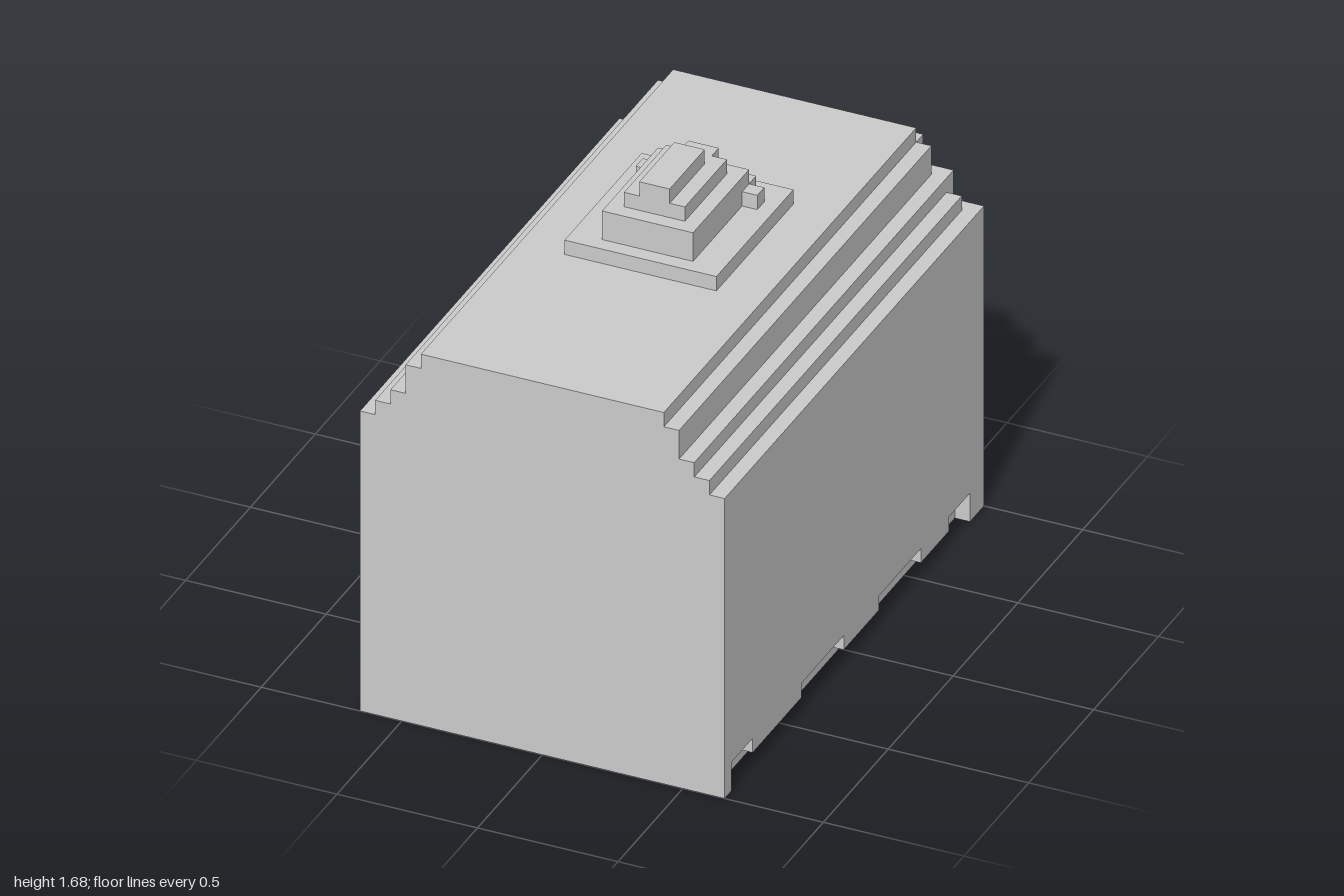
import * as THREE from 'three';

const U = 2 / 37; // one block unit; z is counted in units back from the front face
const material = new THREE.MeshStandardMaterial({ color: 0xcccccc, flatShading: true });

export function createModel() {
  const model = new THREE.Group();

  function addBox(name, x0, x1, y0, y1, z0, z1) {
    const mesh = new THREE.Mesh(
      new THREE.BoxGeometry((x1 - x0) * U, (y1 - y0) * U, (z1 - z0) * U), material);
    mesh.position.set((x0 + x1) / 2 * U, (y0 + y1) / 2 * U, 1 - (z0 + z1) / 2 * U);
    mesh.name = name;
    model.add(mesh);
  }

  // Stepped main body: half-width outline extruded along the full length
  const outline = [[11, 0], [11, 21], [10, 21], [10, 23], [8, 23], [8, 25]];
  const points = [...outline, ...outline.map(([x, y]) => [-x, y]).reverse()];
  const bodyGeometry = new THREE.ExtrudeGeometry(
    new THREE.Shape(points.map(([x, y]) => new THREE.Vector2(x * U, y * U))),
    { depth: 2, bevelEnabled: false });
  bodyGeometry.translate(0, 0, -1);
  const body = new THREE.Mesh(bodyGeometry, material);
  body.name = 'body';
  model.add(body);

  // Top slab and roof trims stop one unit short of the back
  addBox('topSlab', -8, 8, 25, 26, 0, 36);
  for (const s of [-1, 1]) {
    const side = (a, b) => (s > 0 ? [a, b] : [-b, -a]);
    addBox('lowerRoofTrim', ...side(10, 11), 21, 22, 0, 36);
    addBox('upperRoofTrim', ...side(8, 9), 23, 25, 0, 36);
  }

  // Side panels with a notched lower edge, the same on both sides
  const edge = [[0, 0], [1, 0], [1, 2], [4, 2], [4, 1], [11, 1], [11, 2], [17, 2], [17, 1],
    [22, 1], [22, 2], [28, 2], [28, 1], [32, 1], [32, 2], [35, 2], [35, 0], [37, 0],
    [37, 21], [0, 21]];
  const panelGeometry = new THREE.ExtrudeGeometry(
    new THREE.Shape(edge.map(([z, y]) => new THREE.Vector2(z * U - 1, y * U))),
    { depth: U, bevelEnabled: false });
  panelGeometry.rotateY(Math.PI / 2);
  for (const x of [11, -12]) {
    const panel = new THREE.Mesh(panelGeometry, material);
    panel.position.x = x * U;
    panel.name = x > 0 ? 'leftPanel' : 'rightPanel';
    model.add(panel);
  }

  // Small stepped ornament on the roof
  addBox('ornamentBase', -5, 5, 26, 27, 14, 25);
  addBox('ornamentLowerTier', -3, 3, 27, 28, 15, 24);
  addBox('ornamentMiddleTier', -3, 3, 28, 29, 15, 23);
  addBox('ornamentUpperTier', -2, 2, 29, 30, 16, 22);
  addBox('ornamentTail', -1, 1, 29, 30, 22, 23);
  addBox('ornamentCap', -1, 1, 30, 31, 16, 21);
  addBox('ornamentLeftKnob', 3, 4, 27, 28, 22, 23);
  addBox('ornamentRightKnob', -4, -3, 27, 28, 22, 23);

  return model;
}
